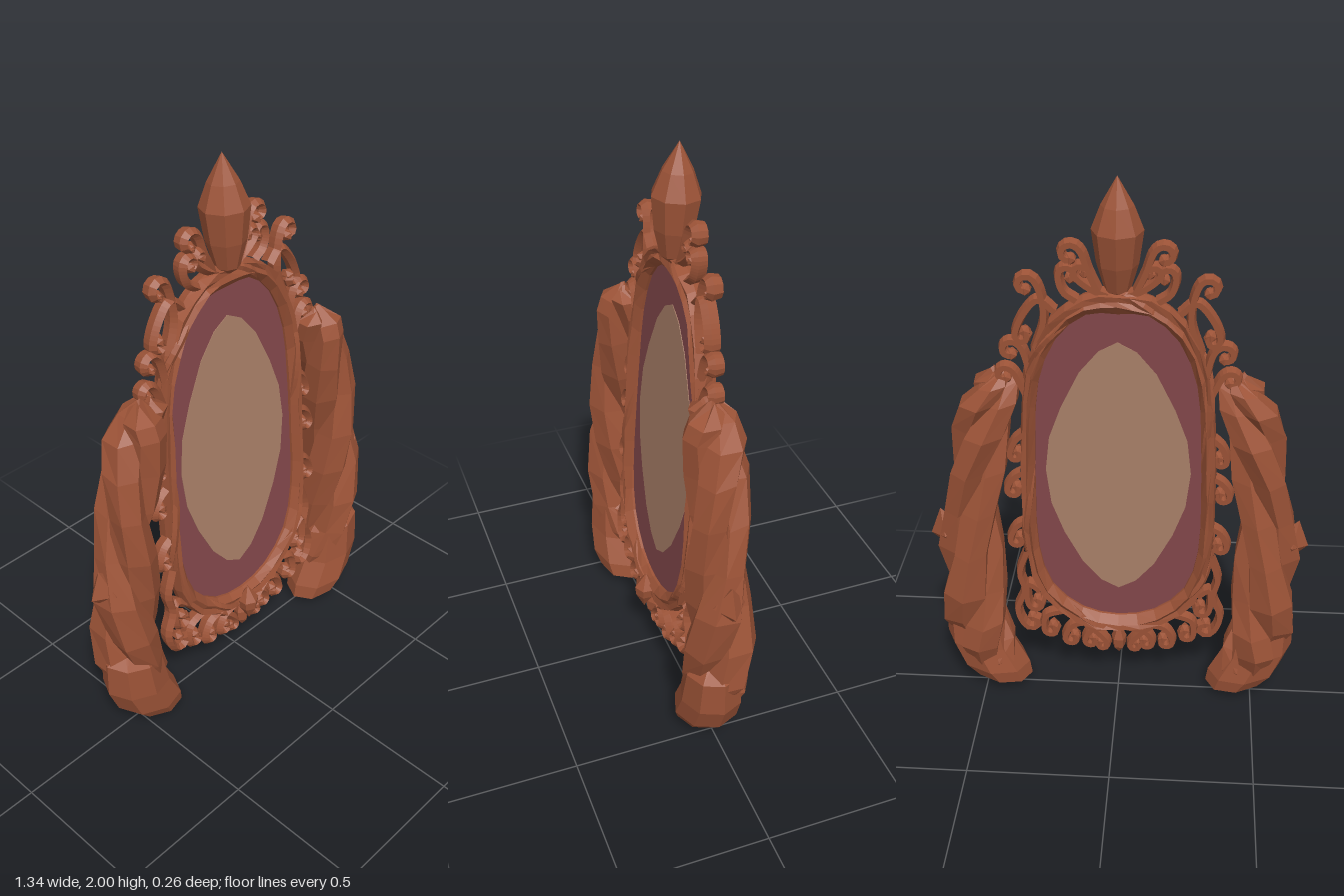
import * as THREE from 'three';

const wood = new THREE.MeshStandardMaterial({ color: 0x9c5337, flatShading: true });
wood.name = 'carved wood';
const plum = new THREE.MeshStandardMaterial({ color: 0x84484b });
plum.name = 'plum border';
const tan = new THREE.MeshStandardMaterial({ color: 0xab8169 });
tan.name = 'tan glass';

const V2 = (x, y) => new THREE.Vector2(x, y);
const V3 = (x, y, z) => new THREE.Vector3(x, y, z);
const noise = (i, j) => { const s = Math.sin(i * 12.99 + j * 78.23) * 43758.55; return (s - Math.floor(s)) * 2 - 1; };

function addMesh(parent, name, geometry, material = wood) {
  const mesh = new THREE.Mesh(geometry, material);
  mesh.name = name;
  parent.add(mesh);
  return mesh;
}

// Mirror a geometry across x, keeping its faces outward
function mirrored(geometry) {
  const g = geometry.index ? geometry.toNonIndexed() : geometry.clone();
  g.scale(-1, 1, 1);
  const p = g.attributes.position, a = V3(), b = V3();
  for (let i = 0; i < p.count; i += 3) {
    a.fromBufferAttribute(p, i + 1);
    b.fromBufferAttribute(p, i + 2);
    p.setXYZ(i + 1, b.x, b.y, b.z);
    p.setXYZ(i + 2, a.x, a.y, a.z);
  }
  g.computeVertexNormals();
  return g;
}

function addPair(parent, name, geometry) {
  addMesh(parent, 'left ' + name, geometry);
  addMesh(parent, 'right ' + name, mirrored(geometry));
}

// Faceted skin over a row of equal cross-sections
function skin(rings, closed) {
  const out = [], n = rings.length, m = rings[0].length;
  for (let i = 0; i < (closed ? n : n - 1); i++) {
    const r = rings[i], s = rings[(i + 1) % n];
    for (let j = 0; j < m; j++) {
      const k = (j + 1) % m;
      for (const v of [r[j], r[k], s[k], r[j], s[k], s[j]]) out.push(v.x, v.y, v.z);
    }
  }
  const g = new THREE.BufferGeometry();
  g.setAttribute('position', new THREE.Float32BufferAttribute(out, 3));
  g.computeVertexNormals();
  return g;
}

// Symmetric closed outline from its +x half, listed top to bottom
function outline(half, count) {
  const pts = half.map(([x, y]) => V3(x, y, 0));
  for (let i = half.length - 2; i > 0; i--) pts.push(V3(-half[i][0], half[i][1], 0));
  const curve = new THREE.CatmullRomCurve3(pts, true);
  return Array.from({ length: count }, (_, i) => curve.getPoint(i / count));
}

function plate(points, depth) {
  const g = new THREE.ExtrudeGeometry(new THREE.Shape(points.map(p => V2(p.x, p.y))),
    { depth, bevelEnabled: false });
  return g.translate(0, 0, -depth / 2);
}

// Flat stem that ends in a spiral curl; turn +1 curls left, -1 right
function scroll(points, turn, r) {
  const path = points.map(([x, y]) => V3(x, y, 0));
  const p = path[path.length - 1];
  const d = p.clone().sub(path[path.length - 2]).normalize();
  const c = V2(p.x - d.y * r * turn, p.y + d.x * r * turn);
  const start = Math.atan2(p.y - c.y, p.x - c.x);
  for (let i = 1; i <= 5; i++) {
    const a = start + turn * i * 0.9, q = r * (1 - i * 0.09);
    path.push(V3(c.x + Math.cos(a) * q, c.y + Math.sin(a) * q, 0));
  }
  const tube = new THREE.TubeGeometry(new THREE.CatmullRomCurve3(path), 20, 0.0165, 5);
  return { tube: tube.scale(1, 1, 1.7), end: path[path.length - 1] };
}

function facetLathe(profile, sides) {
  return new THREE.LatheGeometry(profile.map(([r, y]) => V2(r, y)), sides);
}

function buildFrame(mirror) {
  const inner = outline([[0, 1.555], [0.1, 1.55], [0.2, 1.46], [0.262, 1.3], [0.28, 1.1], [0.288, 0.85],
    [0.285, 0.62], [0.24, 0.45], [0.13, 0.345], [0, 0.315]], 36);
  const outer = outline([[0, 1.635], [0.11, 1.615], [0.22, 1.53], [0.3, 1.35], [0.33, 1.12], [0.338, 0.85],
    [0.333, 0.6], [0.285, 0.4], [0.16, 0.285], [0, 0.25]], 36);
  const section = [[1, 0], [0.88, 0.032], [0.58, 0.026], [0.38, 0.036], [0, 0.012],
    [0, -0.012], [0.38, -0.04], [0.58, -0.028], [0.88, -0.034]];
  const rings = inner.map((p, i) => section.map(([t, z], j) => {
    const edge = t === 0 || t === 1;
    const v = p.clone().lerp(outer[i], t + (edge ? 0 : 0.07 * noise(i, j)));
    v.z = z * (1 + 0.15 * noise(j, i));
    return v;
  }));
  addMesh(mirror, 'mirror frame', skin(rings, true));

  // Slim vine wound around the moulding
  const vine = inner.map((p, i) => {
    const v = p.clone().lerp(outer[i], 0.55 + 0.35 * Math.cos(i * Math.PI / 3));
    v.z = 0.03 * Math.sin(i * Math.PI / 3);
    return v;
  });
  addMesh(mirror, 'frame vine', new THREE.TubeGeometry(new THREE.CatmullRomCurve3(vine, true), 108, 0.014, 5, true));

  // Panel with a pointed oval on both faces
  addMesh(mirror, 'border panel', plate(inner.map((p, i) => p.clone().lerp(outer[i], 0.2)), 0.006), plum);
  const half = [[0, 1.45], [0.063, 1.415], [0.128, 1.335], [0.192, 1.2], [0.235, 1.08], [0.25, 0.95],
    [0.235, 0.81], [0.192, 0.685], [0.128, 0.555], [0.063, 0.475], [0, 0.44]];
  const oval = half.concat(half.slice(1, -1).reverse().map(([x, y]) => [-x, y]));
  for (const s of [1, -1]) {
    addMesh(mirror, s > 0 ? 'front oval' : 'back oval',
      plate(oval.map(([x, y]) => V2(x, y)), 0.003).translate(0, 0, s * 0.0035), tan);
  }
}

function buildOrnament(mirror) {
  // Crystal-shaped finial at the top
  const finial = facetLathe([[0, 1.595], [0.042, 1.63], [0.068, 1.72], [0.083, 1.83], [0.052, 1.91], [0, 2.002]], 8);
  addMesh(mirror, 'finial', finial.translate(0, 0, 0.016));
  const bud = facetLathe([[0, 0.18], [0.034, 0.24], [0.04, 0.275], [0, 0.335]], 6);
  addMesh(mirror, 'lower bud', bud.translate(0, 0, 0.04));
  addMesh(mirror, 'lower drop', facetLathe([[0, 0.125], [0.026, 0.16], [0.03, 0.2], [0, 0.27]], 5));

  const scrolls = [
    // Crest
    [[[0.05, 1.61], [0.09, 1.7], [0.115, 1.77]], -1, 0.036],
    [[[0.03, 1.62], [0.08, 1.64], [0.13, 1.68]], 1, 0.025],
    [[[0.13, 1.6], [0.17, 1.63], [0.185, 1.68]], 1, 0.03],
    [[[0.27, 1.42], [0.235, 1.54], [0.255, 1.655]], -1, 0.036],
    [[[0.2, 1.56], [0.25, 1.6], [0.3, 1.55], [0.33, 1.48]], -1, 0.025],
    [[[0.29, 1.33], [0.3, 1.39], [0.315, 1.43]], -1, 0.036],
    [[[0.3, 1.24], [0.32, 1.29], [0.345, 1.34]], -1, 0.03],
    // Sides
    [[[0.32, 1.1], [0.35, 1.07], [0.37, 1.02]], -1, 0.022],
    [[[0.33, 0.94], [0.36, 0.92], [0.385, 0.88]], -1, 0.026],
    [[[0.33, 0.73], [0.36, 0.71], [0.385, 0.66]], -1, 0.026],
    // Base
    [[[0.33, 0.6], [0.36, 0.5], [0.345, 0.42], [0.375, 0.33], [0.355, 0.26]], -1, 0.034],
    [[[0.29, 0.42], [0.33, 0.45], [0.335, 0.36]], -1, 0.03],
    [[[0.2, 0.33], [0.27, 0.3], [0.28, 0.24]], -1, 0.028],
    [[[0.1, 0.28], [0.17, 0.26], [0.2, 0.21]], -1, 0.028],
    [[[0.03, 0.26], [0.1, 0.24], [0.125, 0.2]], -1, 0.025],
    [[[0.16, 0.3], [0.08, 0.23], [0.045, 0.185]], 1, 0.022],
  ];
  for (const [points, turn, r] of scrolls) {
    const { tube, end } = scroll(points, turn, r);
    addPair(mirror, 'scroll', tube);
    addPair(mirror, 'scroll bead', new THREE.IcosahedronGeometry(0.021, 0).scale(1, 1, 1.4).translate(end.x, end.y, 0));
  }
}

function buildBraids(group) {
  // Each point holds centre x, height and radius
  const guide = new THREE.CatmullRomCurve3([[0.395, 1.325, 0.045], [0.41, 1.27, 0.085], [0.44, 1.18, 0.1],
    [0.487, 1.0, 0.1], [0.515, 0.8, 0.1], [0.525, 0.6, 0.113], [0.518, 0.4, 0.116], [0.51, 0.26, 0.11],
    [0.48, 0.14, 0.09], [0.46, 0.06, 0.04]].map(a => V3(...a)));
  const steps = 11, sides = 6;
  for (let k = 0; k < 3; k++) {
    const rings = [];
    for (let i = 0; i <= steps; i++) {
      const t = i / steps, g = guide.getPoint(t);
      const a = k * Math.PI * 2 / 3 + t * Math.PI * 2.7;
      const swell = i === 0 || i === steps ? 0.25 : 0.68 + 0.08 * Math.sin(i * 1.9 + k * 2.1);
      rings.push(Array.from({ length: sides }, (_, j) => {
        const b = (j + 0.5) * Math.PI * 2 / sides, r = g.z * swell * (1 + 0.07 * noise(i + k * 20, j));
        return V3(g.x + Math.cos(a) * g.z * 0.43 + Math.cos(b) * r, g.y + 0.012 * noise(j, i + k),
          -0.005 + Math.sin(a) * g.z * 0.43 + Math.sin(b) * r);
      }));
    }
    // Close both ends of the strand with a point
    for (const [at, dy] of [[0, 0.012], [rings.length + 1, -0.012]]) {
      const ring = rings[at ? rings.length - 1 : 0];
      const mid = ring.reduce((sum, v) => sum.add(v), V3(0, 0, 0)).divideScalar(sides);
      mid.y += dy;
      rings.splice(at, 0, ring.map(() => mid));
    }
    addPair(group, 'braid strand', skin(rings, false));
  }

  // Heavy faceted lock that closes the braid
  const stations = [[0.53, 0.4, 0.03], [0.53, 0.33, 0.112], [0.517, 0.2, 0.127], [0.472, 0.1, 0.133],
    [0.443, 0.045, 0.112], [0.455, 0.004, 0.03], [0.455, 0, 0.001]];
  const rings = stations.map(([x, y, r], i) => Array.from({ length: 8 }, (_, j) => {
    const b = j * Math.PI / 4;
    const lean = i > 0 && i < 5 ? 0.018 * Math.cos(b) : 0;
    return V3(x + Math.cos(b) * r, y + lean, 0.015 + Math.sin(b) * r * 0.84);
  }));
  addPair(group, 'braid tail', skin(rings, false));

  // Loose lock jutting from the outer side
  const tip = new THREE.OctahedronGeometry(1, 0).scale(0.062, 0.09, 0.055).rotateZ(-0.25);
  addPair(group, 'loose lock', tip.translate(0.612, 0.68, 0));
}

export function createModel() {
  const model = new THREE.Group();
  model.name = 'ornate mirror';

  // The mirror leans back slightly between the braids
  const mirror = new THREE.Group();
  mirror.name = 'mirror';
  mirror.position.z = 0.047;
  mirror.rotation.x = -0.058;
  buildFrame(mirror);
  buildOrnament(mirror);
  model.add(mirror);

  const braids = new THREE.Group();
  braids.name = 'braids';
  buildBraids(braids);
  model.add(braids);
  return model;
}
